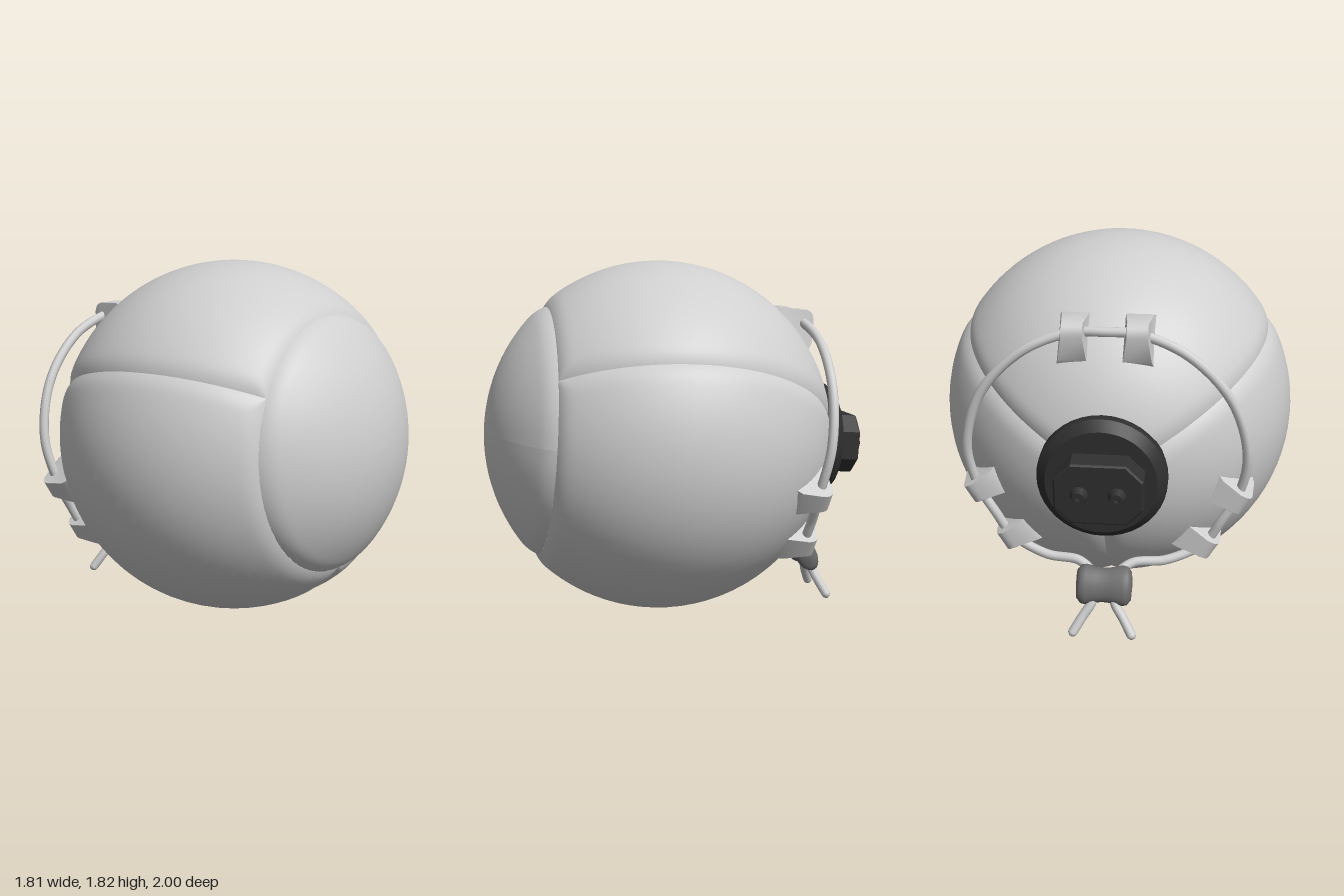
import * as THREE from 'three';
import { toCreasedNormals } from 'three/addons/utils/BufferGeometryUtils.js';

const R = 0.905;
const rad = THREE.MathUtils.degToRad;
const CAP = rad(45.5); // polar angle where the front cap meets the side panels
const V = (x, y, z) => new THREE.Vector3(x, y, z);

const shell = new THREE.MeshStandardMaterial({ color: 0xcfcfcf });
shell.name = 'light grey';
const black = new THREE.MeshStandardMaterial({ color: 0x303030 });
black.name = 'charcoal';
const grey = new THREE.MeshStandardMaterial({ color: 0x6c6c6c });
grey.name = 'mid grey';

function add(parent, name, geometry, material) {
  const mesh = new THREE.Mesh(geometry, material);
  mesh.name = name;
  parent.add(mesh);
  return mesh;
}

// Patch of the ball around the z axis whose borders roll gently inwards
function patch(a0, aLen, t0, t1, nA, nT, edgeDistance, cluster) {
  const g = new THREE.SphereGeometry(R, nA, nT, 0, aLen, t0, t1 - t0);
  const pos = g.attributes.position, uv = g.attributes.uv;
  const ease = (t) => 0.5 - 0.5 * Math.cos(Math.PI * t);
  for (let i = 0; i < pos.count; i++) {
    const u = uv.getX(i), v = 1 - uv.getY(i);
    const a = a0 + aLen * (cluster ? ease(u) : u);
    const t = t0 + (t1 - t0) * (cluster ? ease(v) : Math.sin(v * Math.PI / 2));
    const k = 1 - Math.min(edgeDistance(a, t) / 0.09, 1);
    const r = R - 0.018 * k * k;
    pos.setXYZ(i, r * Math.cos(a) * Math.sin(t), r * Math.sin(a) * Math.sin(t), r * Math.cos(t));
  }
  g.computeVertexNormals();
  return g;
}

function lathe(points, segments = 40) {
  const g = new THREE.LatheGeometry(points.map(([r, y]) => new THREE.Vector2(r, y)), segments);
  g.rotateX(-Math.PI / 2); // profile height now runs towards the back
  return toCreasedNormals(g, rad(30));
}

// Point on the cord at an angle around the ball's axis
const around = (deg, r = 0.665, z = -0.68) => V(r * Math.cos(rad(deg)), r * Math.sin(rad(deg)), z);
const SPREAD = 13.9; // half angle between the two straps of a pair

// Humped strap holding the cord, flaring where it meets the ball
function strapGeometry() {
  const s = new THREE.Shape();
  s.moveTo(-0.13, -0.03);
  s.lineTo(0.13, -0.03);
  s.lineTo(0.12, 0.005);
  s.lineTo(0.045, 0.085);
  s.quadraticCurveTo(0, 0.13, -0.045, 0.085);
  s.lineTo(-0.12, 0.005);
  const g = new THREE.ExtrudeGeometry(s, { depth: 0.1, bevelEnabled: false, curveSegments: 6 });
  g.translate(0, 0, -0.05);
  const pos = g.attributes.position;
  for (let i = 0; i < pos.count; i++) {
    const flare = 1 + 0.35 * Math.max(0, 1 - pos.getY(i) / 0.07);
    pos.setZ(i, pos.getZ(i) * flare);
  }
  return toCreasedNormals(g, rad(35));
}

export function createModel() {
  const model = new THREE.Group();
  model.name = 'ball';
  const body = new THREE.Group();
  body.name = 'tiltedBody';
  body.position.set(0, 0.915, 0.095);
  body.rotation.set(rad(-4), rad(-2), 0);
  model.add(body);

  // Front cap and three side panels
  add(body, 'frontCap', patch(0, Math.PI * 2, 0, CAP, 64, 28, (a, t) => (CAP - t) * R, false), shell);
  for (let i = 0; i < 3; i++) {
    const a0 = rad(30 + 120 * i), a1 = a0 + rad(120);
    const distance = (a, t) => Math.min((t - CAP) * R, Math.min(a - a0, a1 - a) * R * Math.sin(t));
    add(body, 'sidePanel', patch(a0, rad(120), CAP, rad(166), 44, 44, distance, true), shell);
  }

  // Rear plug: round plate, block with cut corners, two prongs
  const plug = new THREE.Group();
  plug.name = 'rearPlug';
  body.add(plug);
  add(plug, 'plate', lathe([[0, 0.81], [0.3, 0.82], [0.31, 0.84], [0.31, 0.895], [0.265, 0.94], [0, 0.94]]), black);
  const w = 0.2, h = 0.145, c = 0.075;
  const outline = new THREE.Shape([
    [w - c, -h], [w, -h + c], [w, h - c], [w - c, h],
    [-w + c, h], [-w, h - c], [-w, -h + c], [-w + c, -h],
  ].map(([x, y]) => new THREE.Vector2(x, y)));
  const block = new THREE.ExtrudeGeometry(outline, {
    depth: 0.115, bevelThickness: 0.008, bevelSize: 0.008, bevelSegments: 1,
  });
  block.translate(0, 0, -1.048);
  add(plug, 'block', block, black);
  for (const x of [-0.088, 0.088]) {
    const prong = add(plug, 'prong', lathe([[0.045, 1.05], [0.042, 1.06], [0.03, 1.095], [0.014, 1.095], [0.012, 1.075], [0, 1.075]], 16), black);
    prong.position.x = x;
  }

  // Three pairs of straps
  const strapShape = strapGeometry();
  for (const center of [90, 210, 330]) {
    const side = V(-Math.sin(rad(center)), Math.cos(rad(center)), 0);
    for (const s of [-1, 1]) {
      const out = around(center + s * SPREAD).normalize();
      const along = out.clone().cross(side).normalize();
      const up = side.clone().cross(along);
      const strap = add(body, 'cordStrap', strapShape, shell);
      strap.quaternion.setFromRotationMatrix(new THREE.Matrix4().makeBasis(along, up, side));
      strap.position.copy(out.multiplyScalar(R));
    }
  }

  // Cord: half path from the top down to a loose end, mirrored
  const half = [
    around(90, 0.655, -0.685), around(90 - SPREAD), around(55, 0.68, -0.71), around(30, 0.685, -0.72),
    around(5, 0.68, -0.71), around(-30 + SPREAD), around(-30, 0.65, -0.685), around(-30 - SPREAD),
    V(0.3, -0.53, -0.735), V(0.13, -0.54, -0.765), V(0.055, -0.59, -0.82),
    V(0.055, -0.69, -0.89), V(0.1, -0.76, -0.925), V(0.145, -0.83, -0.965),
  ];
  const mirrored = half.slice(1).map((p) => V(-p.x, p.y, p.z)).reverse();
  const path = new THREE.CatmullRomCurve3([...mirrored, ...half]);
  add(body, 'cord', new THREE.TubeGeometry(path, 220, 0.024, 10), shell);
  for (const s of [-1, 1]) {
    const end = add(body, 'cordEnd', new THREE.SphereGeometry(0.024, 10, 6), shell);
    end.position.set(s * 0.145, -0.83, -0.965);
    end.scale.setScalar(0.98);
  }

  // Waisted toggle gripping both cord ends
  const spool = new THREE.LatheGeometry([
    [0, -0.14], [0.07, -0.135], [0.095, -0.115], [0.1, -0.09], [0.088, -0.04], [0.085, 0],
    [0.088, 0.04], [0.1, 0.09], [0.095, 0.115], [0.07, 0.135], [0, 0.14],
  ].map(([r, y]) => new THREE.Vector2(r, y)), 24);
  spool.rotateZ(Math.PI / 2);
  spool.scale(1, 1, 0.58);
  const toggle = add(body, 'toggle', spool, grey);
  toggle.position.set(0, -0.622, -0.848);
  toggle.rotation.x = rad(32);

  return model;
}
